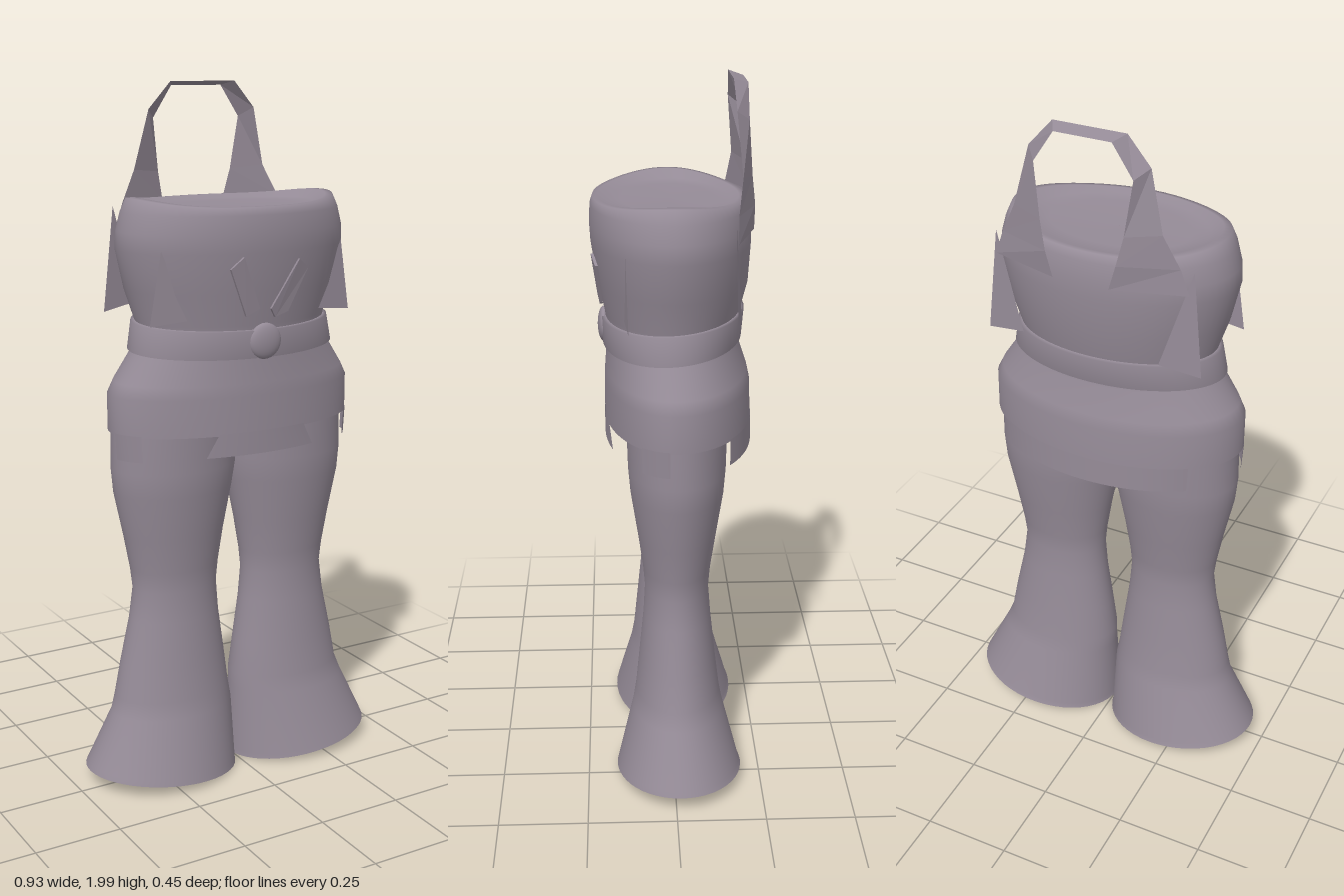
import * as THREE from 'three';

// Torso and hip cross-sections: [y, half width, front z, back z]
const PROFILE = [
  [1.66, 0.325, 0.222, -0.212], [1.61, 0.339, 0.225, -0.219], [1.56, 0.342, 0.222, -0.22],
  [1.45, 0.317, 0.205, -0.213], [1.36, 0.287, 0.185, -0.19], [1.32, 0.286, 0.181, -0.184],
  [1.28, 0.303, 0.18, -0.186], [1.2, 0.357, 0.186, -0.213], [1.165, 0.375, 0.188, -0.221],
  [1.06, 0.375, 0.188, -0.225], [0.99, 0.37, 0.187, -0.226],
];
const X0 = -0.004;

function sectionAt(y) {
  let i = 0;
  while (i < PROFILE.length - 2 && y < PROFILE[i + 1][0]) i++;
  const a = PROFILE[i], b = PROFILE[i + 1];
  const t = THREE.MathUtils.clamp((a[0] - y) / (a[0] - b[0]), 0, 1);
  return a.map((v, k) => v + (b[k] - v) * t);
}

// Point on an elliptical section; angle 0 is the front, rising towards +x
function ringPoint([y, hw, zf, zb], angle, out = 0) {
  const c = Math.cos(angle);
  return [X0 + (hw + out) * Math.sin(angle), y, c > 0 ? (zf + out) * c : (out - zb) * c];
}

// Skin a grid of points, rows running top to bottom
function skin(rows, closed = false) {
  const n = rows[0].length, index = [];
  for (let r = 0; r < rows.length - 1; r++) {
    for (let i = 0; i < (closed ? n : n - 1); i++) {
      const j = (i + 1) % n, a = r * n, b = a + n;
      index.push(a + i, b + i, b + j, a + i, b + j, a + j);
    }
  }
  const g = new THREE.BufferGeometry();
  g.setAttribute('position', new THREE.Float32BufferAttribute(rows.flat(2), 3));
  g.setIndex(index);
  g.computeVertexNormals();
  return g;
}

const loop = (n, fn) => Array.from({ length: n }, (_, i) => fn(i / n * Math.PI * 2));

// Curved panel lying on the body between two angles at its top and bottom edges
function panel(top, bottom, yTop, yBottom, out, n = 24) {
  return skin([0, 1].map((t) => Array.from({ length: n + 1 }, (_, i) => {
    const a = THREE.MathUtils.lerp(top[0], top[1], i / n);
    const b = THREE.MathUtils.lerp(bottom[0], bottom[1], i / n);
    return ringPoint(sectionAt(t ? yBottom : yTop), t ? b : a, out);
  })));
}

export function createModel() {
  const model = new THREE.Group();
  const cloth = new THREE.MeshStandardMaterial({ color: 0x958b97, side: THREE.DoubleSide });
  cloth.name = 'mauve grey cloth';
  const add = (name, geometry) => {
    const mesh = new THREE.Mesh(geometry, cloth);
    mesh.name = name;
    model.add(mesh);
    return mesh;
  };

  // Bodice and hips, with a rounded rim lifted at the sides
  const rim = [[1.668, 0.001, 0.001, -0.001], [1.67, 0.2, 0.14, -0.12], [1.672, 0.25, 0.18, -0.16],
    [1.682, 0.285, 0.202, -0.185], [1.681, 0.308, 0.215, -0.2]];
  const lift = [0, 0, 0.004, 0.018, 0.018];
  const bodyRows = [...rim, ...PROFILE.slice(0, -1)].map((s, k) => loop(64, (a) => {
    const p = ringPoint(s, a);
    p[1] += (lift[k] || 0) * Math.sin(a) ** 4;
    return p;
  }));
  add('bodice', skin(bodyRows, true));
  const floor = [0.001, 1].map((f) => loop(64, (a) => ringPoint([1.075, 0.372 * f, 0.186 * f, -0.222 * f], a)));
  add('hipLining', skin(floor.reverse(), true));

  // Stepped hem: front flap, side tabs and a long back panel
  add('frontHem', panel([-0.37, 0.37], [-0.48, 0.48], 1.065, 1.0, 0.001));
  add('backHem', panel([2.3, Math.PI * 2 - 2.3], [2.3, Math.PI * 2 - 2.3], 1.065, 0.99, 0.001, 40));
  for (const s of [1, -1]) {
    const span = s > 0 ? [1.08, 1.49] : [-1.49, -1.08];
    add('sideHemTab', panel(span, span, 1.065, 0.99, 0.001, 8));
  }

  // Belt, dipping towards the buckle
  const belt = [[0.04, 0], [0.038, 0.011], [-0.038, 0.011], [-0.04, 0]];
  add('belt', skin(belt.map(([dy, out]) => loop(64, (a) => {
    const y = 1.32 - 0.012 * Math.cos(a) + dy;
    return ringPoint(sectionAt(y), a, out);
  })), true));
  const buckle = add('buckle', new THREE.SphereGeometry(0.05, 24, 16));
  buckle.scale.z = 0.35;
  buckle.position.set(-0.004, 1.315, 0.188);

  // Two slanted tabs laid on the chest
  const tabs = [
    [[-0.124, 1.52], [-0.09, 1.552], [-0.03, 1.408], [-0.042, 1.388], [-0.068, 1.388]],
    [[0.006, 1.405], [0.085, 1.537], [0.12, 1.51], [0.064, 1.393], [0.022, 1.38]],
  ];
  for (const pts of tabs) {
    const g = new THREE.ExtrudeGeometry(new THREE.Shape(pts.map((p) => new THREE.Vector2(...p))),
      { depth: 0.008, bevelEnabled: false });
    const p = g.attributes.position;
    for (let i = 0; i < p.count; i++) {
      const [, hw, zf] = sectionAt(p.getY(i));
      p.setZ(i, p.getZ(i) + 0.002 + zf * Math.sqrt(1 - ((p.getX(i) - X0) / hw) ** 2));
    }
    g.computeVertexNormals();
    add('chestTab', g);
  }

  // Loose triangular flaps standing off the sides, front and back
  for (const s of [1, -1]) {
    const flaps = {
      frontSideFlap: [[0.285, 1.57, 0.128], [0.2, 1.38, 0.133], [0.318, 1.37, 0.122]],
      backSideFlap: [[0.285, 1.665, -0.158], [0.2, 1.39, -0.182], [0.315, 1.37, -0.165]],
    };
    for (const [name, pts] of Object.entries(flaps)) {
      const g = new THREE.BufferGeometry();
      const order = s > 0 ? pts : [pts[0], pts[2], pts[1]];
      g.setAttribute('position', new THREE.Float32BufferAttribute(order.flatMap(([x, y, z]) => [s * x + X0, y, z]), 3));
      g.computeVertexNormals();
      add(name, g);
    }
  }

  // Halter strap: a ribbon rising from the back and bridging behind the neck
  const inner = [[0.08, 1.6, -0.222], [0.1, 1.67, -0.222], [0.118, 1.75, -0.212], [0.138, 1.9, -0.2], [0.08, 1.988, -0.2]];
  const outer = [[0.28, 1.6, -0.165], [0.255, 1.67, -0.167], [0.21, 1.76, -0.18], [0.17, 1.925, -0.165], [0.103, 2.0, -0.16]];
  const ribbon = (edge) => [...edge, ...[...edge].reverse().map(([x, y, z]) => [-x, y, z])];
  const strap = skin([ribbon(outer), ribbon(inner)]).toNonIndexed();
  strap.computeVertexNormals();
  add('halterStrap', strap);

  // Flared trouser legs: [y, inner x, outer x, front z, back z]
  const legRows = [
    [1.1, -0.012, 0.362, 0.13, -0.15], [0.95, -0.008, 0.366, 0.126, -0.146], [0.88, 0.004, 0.36, 0.12, -0.14],
    [0.75, 0.03, 0.333, 0.1, -0.12], [0.65, 0.046, 0.315, 0.086, -0.105], [0.59, 0.052, 0.308, 0.081, -0.1],
    [0.5, 0.045, 0.32, 0.086, -0.107], [0.37, 0.027, 0.349, 0.099, -0.121], [0.27, 0.014, 0.368, 0.109, -0.133],
    [0.22, 0.01, 0.384, 0.118, -0.143], [0.05, 0.002, 0.456, 0.162, -0.19], [0.035, 0, 0.463, 0.166, -0.196],
  ];
  for (const s of [1, -1]) {
    const rows = legRows.map(([y, x0, x1, zf, zb], k) => loop(48, (a) => {
      const low = k > legRows.length - 3 ? 0.024 : 0;
      return [s * ((x0 + x1) / 2 + s * (x1 - x0) / 2 * Math.sin(a)) - (k < 9 ? 0.006 : 0.001),
        y + low * s * Math.sin(a), (zf + zb) / 2 + (zf - zb) / 2 * Math.cos(a)];
    }));
    add(s > 0 ? 'leftLeg' : 'rightLeg', skin(rows, true));
    const hem = rows[rows.length - 1];
    const centre = [s * 0.2315, 0.035, -0.015];
    add(s > 0 ? 'leftLegBase' : 'rightLegBase', skin([hem, hem.map(() => centre)], true));
  }
  return model;
}
